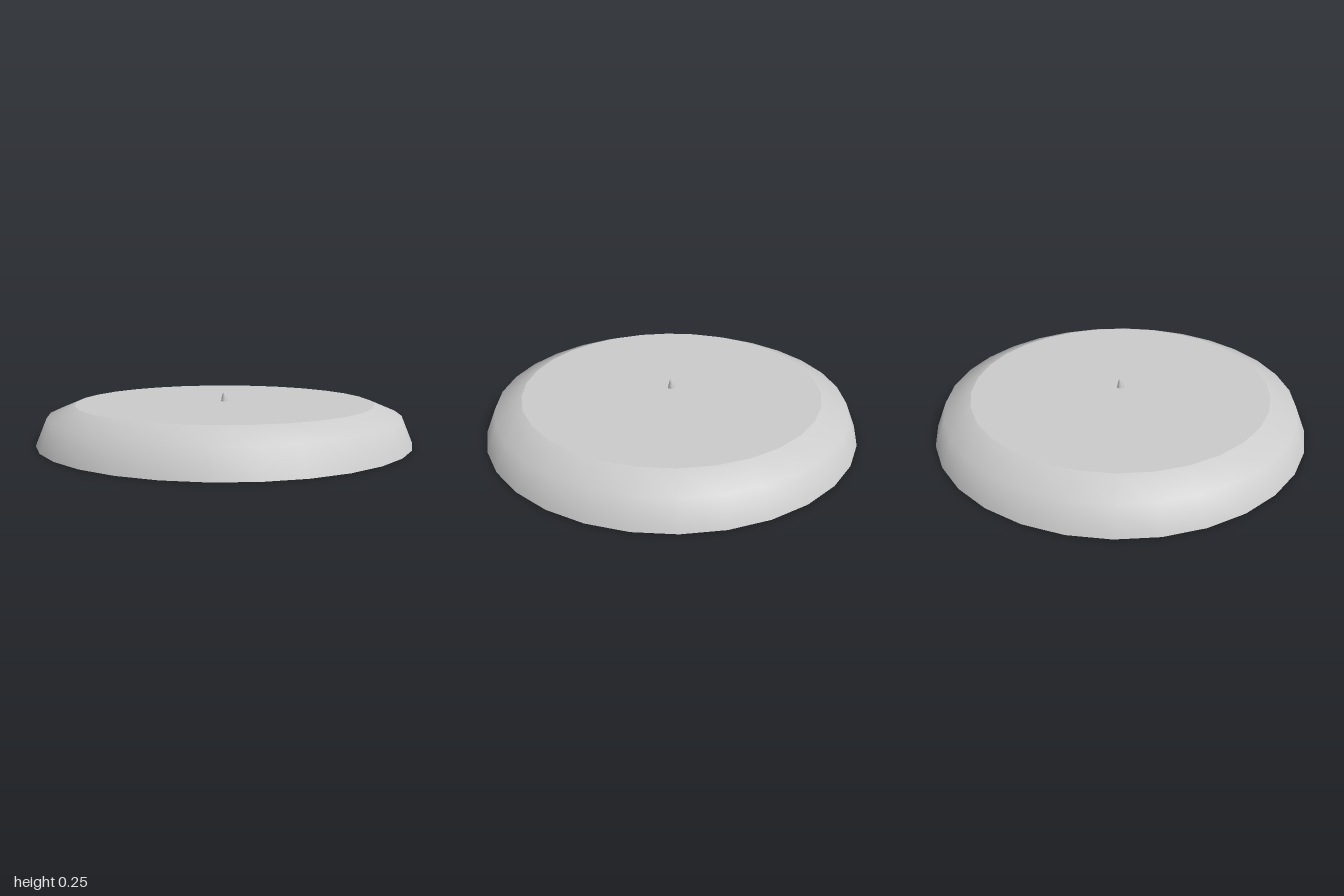
import * as THREE from 'three';

const SIDES = 30;
const EDGE = 0.2; // radius of the rounded shoulder, and the height of the disc
const INNER = 0.8; // radius of the flat top

export function createModel() {
  const group = new THREE.Group();
  const material = new THREE.MeshStandardMaterial({ color: 0xcccccc });
  const add = (name, geometry, y = 0, tilt = 0) => {
    const mesh = new THREE.Mesh(geometry, material);
    mesh.name = name;
    mesh.position.y = y;
    mesh.rotation.x = tilt;
    group.add(mesh);
  };

  // Smooth shoulder: a quarter round in two steps, with a corner on the x axis
  const profile = [0, 1, 2].map((i) => {
    const a = (i * Math.PI) / 4;
    return new THREE.Vector2(INNER + EDGE * Math.cos(a), EDGE * Math.sin(a));
  });
  add('roundedRim', new THREE.LatheGeometry(profile, SIDES, Math.PI / 2));

  // Flat faces closing the disc
  add('topFace', new THREE.CircleGeometry(INNER, SIDES), EDGE, -Math.PI / 2);
  add('bottomFace', new THREE.CircleGeometry(INNER + EDGE, SIDES), 0, Math.PI / 2);

  // Small tapered pin with a blunt tip in the centre
  const pin = [[0.019, 0], [0.015, 0.021], [0.01, 0.041], [0.006, 0.045], [0, 0.046]];
  add('centrePin', new THREE.LatheGeometry(pin.map(([r, y]) => new THREE.Vector2(r, y)), 12), EDGE);

  return group;
}
